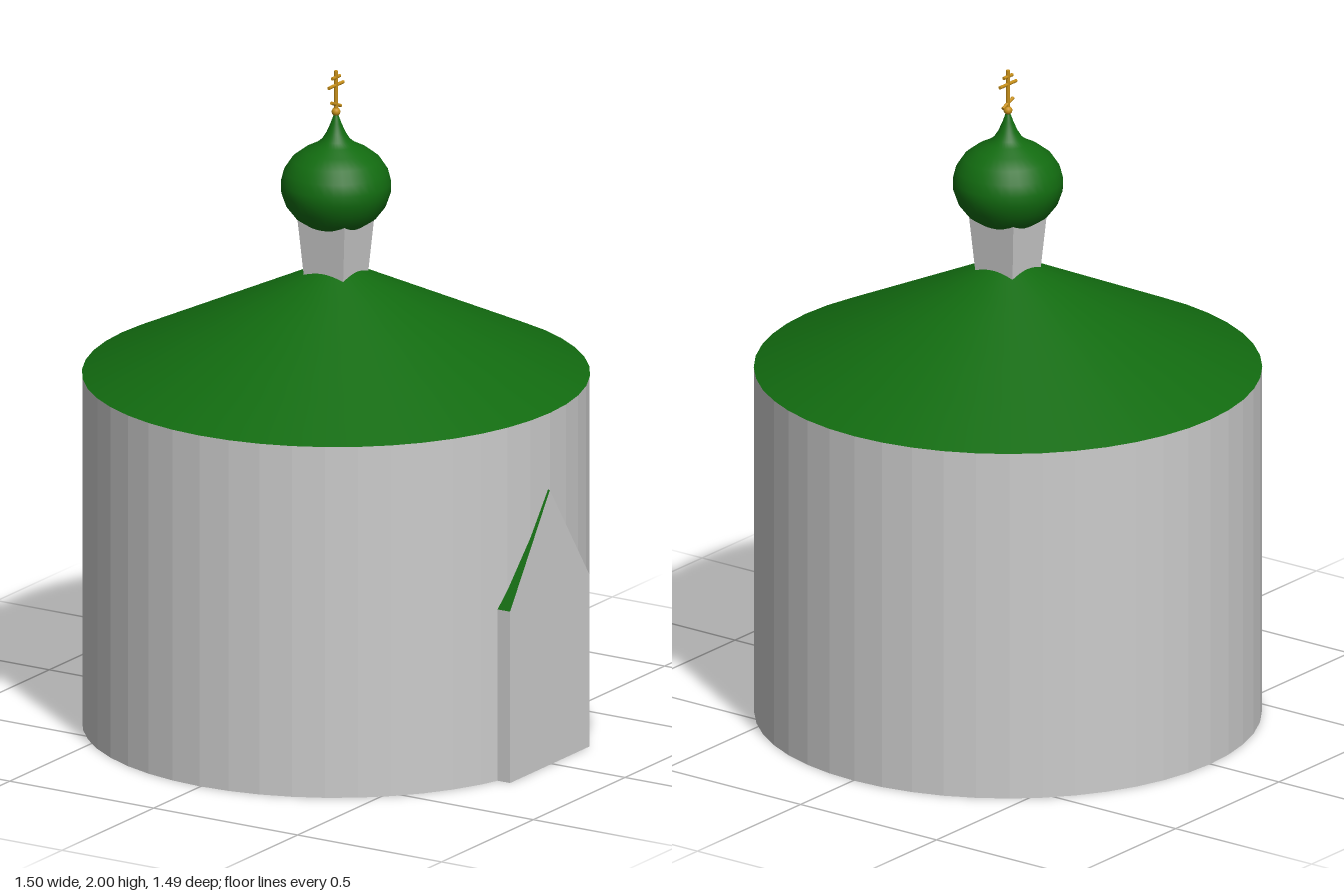
import * as THREE from 'three';

const grey = new THREE.MeshStandardMaterial({ color: 0xcccccc });
const greyFlat = new THREE.MeshStandardMaterial({ color: 0xcccccc, flatShading: true });
const green = new THREE.MeshStandardMaterial({ color: 0x126b10 });
const gold = new THREE.MeshStandardMaterial({ color: 0xc8901a });

function add(parent, name, geometry, material, x = 0, y = 0, z = 0) {
  const mesh = new THREE.Mesh(geometry, material);
  mesh.name = name;
  mesh.position.set(x, y, z);
  parent.add(mesh);
  return mesh;
}

export function createModel() {
  const model = new THREE.Group();
  model.name = 'roundChapel';

  // Everything round shares one axis; the porch sticks out a little on +x
  const body = new THREE.Group();
  body.name = 'body';
  body.position.x = -0.004;
  model.add(body);

  // Drum wall and conical roof
  const R = 0.745, wallTop = 1.075, roofRise = 0.352;
  add(body, 'wall', new THREE.CylinderGeometry(R - 0.001, R - 0.001, wallTop, 48), greyFlat, 0, wallTop / 2, 0);
  add(body, 'roof', new THREE.ConeGeometry(R, roofRise, 48, 4), green, 0, wallTop + roofRise / 2, 0);

  // Square neck, flaring upwards, its ends hidden in roof and dome
  const neck = new THREE.CylinderGeometry(0.084 * Math.SQRT2, 0.067 * Math.SQRT2, 0.22, 4);
  neck.rotateY(Math.PI / 4);
  add(body, 'neck', neck, greyFlat, 0, 1.47, 0);

  // Onion dome
  const bulb = [
    [0, 1.52], [0.05, 1.523], [0.085, 1.532], [0.12, 1.555], [0.147, 1.59],
    [0.161, 1.63], [0.162, 1.66], [0.153, 1.695], [0.13, 1.73], [0.095, 1.757],
    [0.06, 1.775], [0.042, 1.79], [0.028, 1.812], [0.016, 1.84], [0.006, 1.868], [0, 1.875],
  ].map(([r, y]) => new THREE.Vector2(r, y));
  add(body, 'onionDome', new THREE.LatheGeometry(bulb, 36), green);

  // Cross in the z-y plane, standing on a small ball
  const cross = new THREE.Group();
  cross.name = 'cross';
  body.add(cross);
  add(cross, 'crossBall', new THREE.SphereGeometry(0.013, 16, 10), gold, 0, 1.875, 0);
  add(cross, 'crossPost', new THREE.CylinderGeometry(0.006, 0.006, 0.135, 10), gold, 0, 1.9325, 0);
  for (const [name, y, length, tilt] of [
    ['topBar', 1.98, 0.042, 0],
    ['mainBar', 1.956, 0.08, 0],
    ['slantedBar', 1.897, 0.054, -0.38],
  ]) {
    const bar = new THREE.CylinderGeometry(0.005, 0.005, length, 10);
    bar.rotateX(Math.PI / 2 + tilt);
    add(cross, name, bar, gold, 0, y, 0);
  }

  // Shallow gabled porch on the +x side
  const porch = new THREE.Group();
  porch.name = 'porch';
  model.add(porch);
  const front = 0.746, back = 0.6, half = 0.217, eaves = 0.525, ridge = 0.842;
  const depth = front - back;
  add(porch, 'porchWalls', new THREE.BoxGeometry(depth, eaves, half * 2), grey, (front + back) / 2, eaves / 2, 0.011);

  // Gable: grey ends, green slopes
  const gable = new THREE.Shape();
  gable.moveTo(-half, 0);
  gable.lineTo(half, 0);
  gable.lineTo(0, ridge - eaves);
  gable.closePath();
  const gableGeometry = new THREE.ExtrudeGeometry(gable, { depth, bevelEnabled: false });
  gableGeometry.rotateY(Math.PI / 2);
  add(porch, 'porchGable', gableGeometry, [grey, green], back, eaves, 0.011);

  return model;
}
